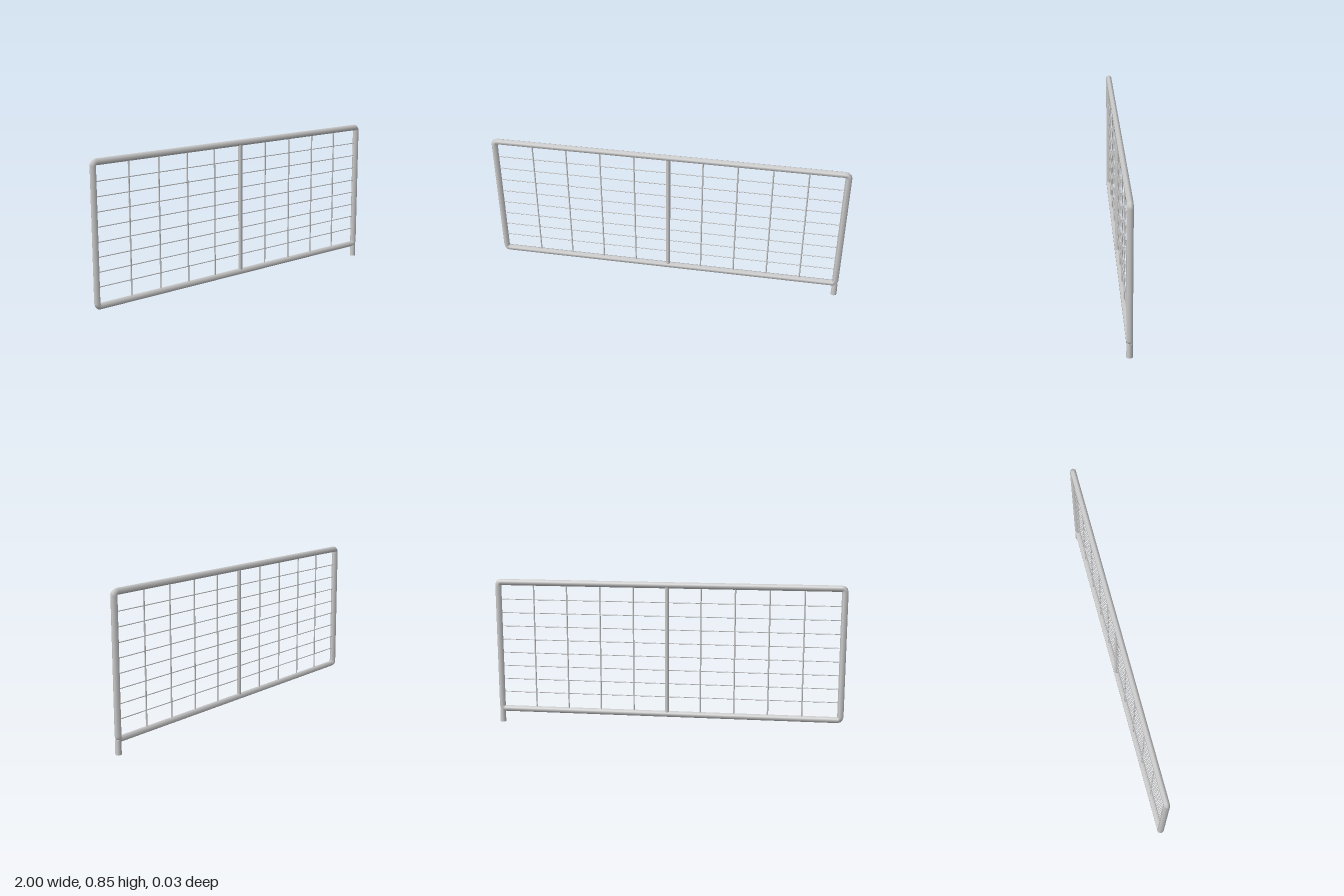
import * as THREE from 'three';

const material = new THREE.MeshStandardMaterial({ color: 0xcccccc });
const X = 0.982, BOTTOM = 0.08, TOP = 0.829, R = 0.0178;

// Six-sided tube swept round a closed rectangle with small rounded corners
function frameGeometry(bend = 0.018, cornerSteps = 3, sides = 6) {
  const corners = [[X, TOP, 0], [-X, TOP, 1], [-X, BOTTOM, 2], [X, BOTTOM, 3]];
  const positions = [], normals = [], index = [];
  for (const [cx, cy, quarter] of corners) {
    const ox = cx - Math.sign(cx) * bend;
    const oy = cy + (cy === TOP ? -bend : bend);
    for (let i = 0; i <= cornerSteps; i++) {
      const t = (quarter + i / cornerSteps) * Math.PI / 2;
      const dx = Math.cos(t), dy = Math.sin(t);
      for (let j = 0; j < sides; j++) {
        const a = (j / sides) * Math.PI * 2;
        const out = Math.cos(a), z = Math.sin(a);
        positions.push(ox + dx * (bend + R * out), oy + dy * (bend + R * out), R * z);
        normals.push(dx * out, dy * out, z);
      }
    }
  }
  const rings = corners.length * (cornerSteps + 1);
  for (let i = 0; i < rings; i++) {
    const n = (i + 1) % rings;
    for (let j = 0; j < sides; j++) {
      const k = (j + 1) % sides;
      const a = i * sides + j, b = n * sides + j, c = n * sides + k, d = i * sides + k;
      index.push(a, b, c, a, c, d);
    }
  }
  const geometry = new THREE.BufferGeometry();
  geometry.setAttribute('position', new THREE.Float32BufferAttribute(positions, 3));
  geometry.setAttribute('normal', new THREE.Float32BufferAttribute(normals, 3));
  geometry.setIndex(index);
  return geometry;
}

export function createModel() {
  const group = new THREE.Group();
  const add = (name, geometry, x = 0, y = 0) => {
    const mesh = new THREE.Mesh(geometry, material);
    mesh.name = name;
    mesh.position.set(x, y, 0);
    group.add(mesh);
    return mesh;
  };

  add('frame', frameGeometry());

  // Straight foot below one end post, closing inside the frame corner
  add('foot', new THREE.CylinderGeometry(0.0155, 0.0172, 0.08, 12), X, 0.04);

  // Upright bars, the middle one thicker
  const midY = (TOP + BOTTOM) / 2, height = TOP - BOTTOM;
  for (let i = -4; i <= 4; i++) {
    const radius = i === 0 ? 0.0122 : 0.0042;
    add(i === 0 ? 'middlePost' : 'uprightBar',
      new THREE.CylinderGeometry(radius, radius, height, 8, 1, true), 0.005 + i * 0.1925, midY);
  }

  // Thin horizontal wires
  for (let i = 0; i < 8; i++) {
    const wire = add('horizontalWire',
      new THREE.CylinderGeometry(0.0026, 0.0026, 2 * X, 6, 1, true), 0, 0.182 + i * 0.0783);
    wire.rotation.z = Math.PI / 2;
  }
  return group;
}
